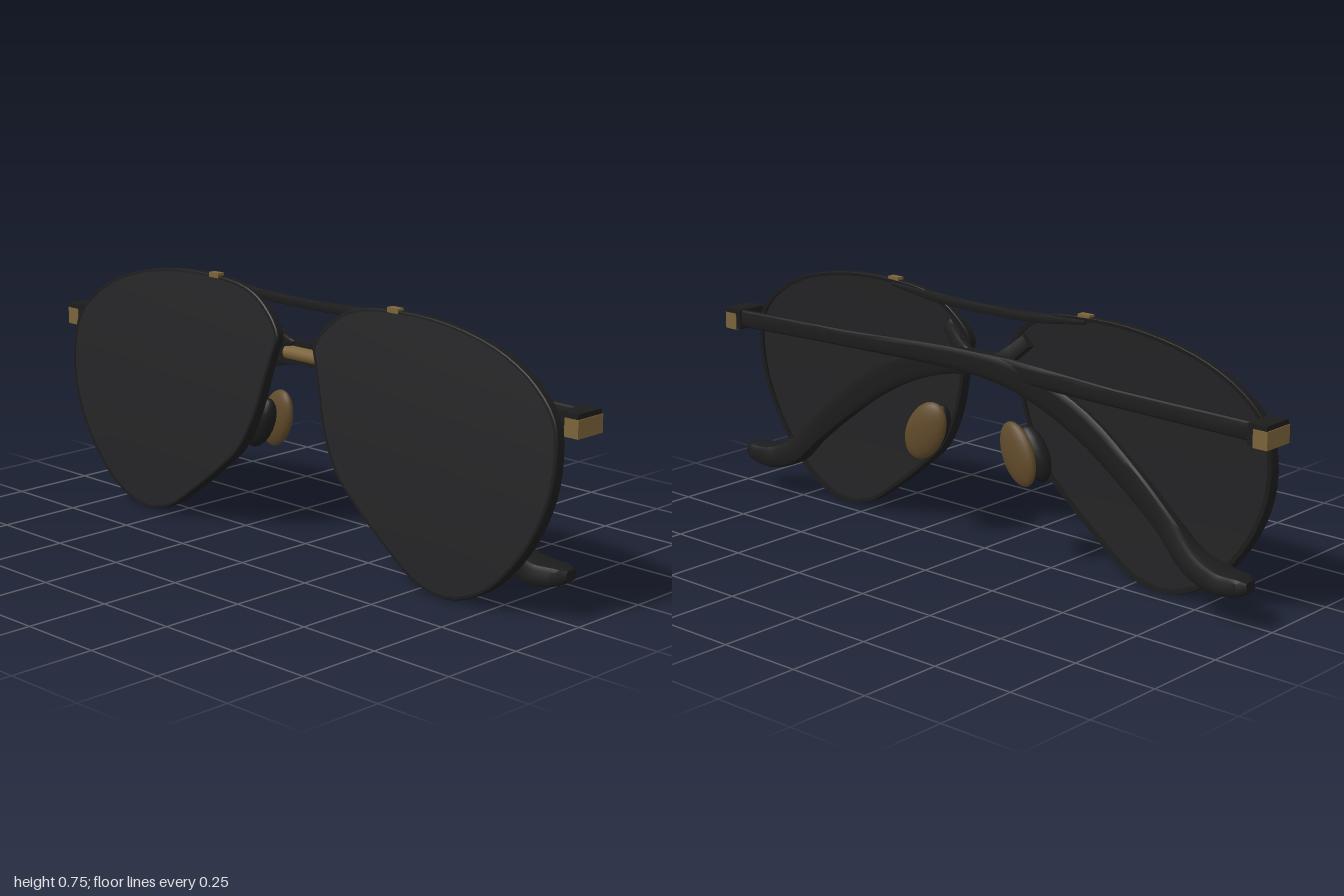
import * as THREE from 'three';
import { toCreasedNormals } from 'three/addons/utils/BufferGeometryUtils.js';

const material = (name, color) => {
  const m = new THREE.MeshStandardMaterial({ color });
  m.name = name;
  return m;
};

// Joins closed loops of points into one surface
function skin(rows, flip = false, crease = 0.6) {
  const n = rows[0].length, index = [];
  for (let i = 0; i < rows.length - 1; i++) {
    for (let j = 0; j < n; j++) {
      const a = i * n + j, b = i * n + (j + 1) % n, c = a + n, d = b + n;
      if (flip) index.push(a, c, b, b, c, d);
      else index.push(a, b, c, b, d, c);
    }
  }
  const geo = new THREE.BufferGeometry();
  geo.setAttribute('position', new THREE.Float32BufferAttribute(rows.flat().flatMap(p => [p.x, p.y, p.z]), 3));
  geo.setIndex(index);
  return toCreasedNormals(geo, crease);
}

// Sweeps a rounded bar through stations [x, y, z, half height, half depth]
function sweep(stations, steps = 4) {
  const path = new THREE.CatmullRomCurve3(stations.map(s => new THREE.Vector3(s[0], s[1], s[2])), false, 'centripetal');
  const last = stations.length - 1, total = last * steps, side = new THREE.Vector3(0, 0, 1);
  const rows = [];
  for (let i = 0; i <= total; i++) {
    const t = i / total, k = Math.min(Math.floor(t * last), last - 1), f = t * last - k;
    const h = THREE.MathUtils.lerp(stations[k][3], stations[k + 1][3], f);
    const d = THREE.MathUtils.lerp(stations[k][4], stations[k + 1][4], f);
    const p = path.getPoint(t), tan = path.getTangent(t).setZ(0).normalize();
    const up = side.clone().cross(tan);
    const loop = [];
    for (let j = 0; j < 12; j++) {
      const a = (j + 0.5) / 12 * Math.PI * 2, c = Math.cos(a), s = Math.sin(a);
      loop.push(p.clone()
        .addScaledVector(up, h * Math.sign(c) * Math.sqrt(Math.abs(c)))
        .addScaledVector(side, d * Math.sign(s) * Math.sqrt(Math.abs(s))));
    }
    if (i === 0) rows.push(loop.map(() => p));
    rows.push(loop);
    if (i === total) rows.push(loop.map(() => p));
  }
  return skin(rows);
}

// Teardrop lens outline for the model's left eye
const OUTLINE = [
  [0.07, 0.61], [0.125, 0.68], [0.21, 0.727], [0.355, 0.745], [0.54, 0.74], [0.73, 0.7],
  [0.86, 0.636], [0.94, 0.555], [0.96, 0.47], [0.95, 0.35], [0.89, 0.21], [0.78, 0.08],
  [0.69, 0.025], [0.6, 0.005], [0.5, 0.027], [0.39, 0.1], [0.275, 0.19], [0.195, 0.265],
  [0.135, 0.38], [0.1, 0.5], [0.083, 0.56],
];
const EYE = new THREE.Vector2(0.52, 0.42);
const frontZ = y => 0.085 - 0.114 * y * y;
const depthAt = y => 0.048 - 0.034 * y;

// Loops of [scale, depth fraction from front to back] that follow the lens curve
function lensSurface(profile, s) {
  const curve = new THREE.CatmullRomCurve3(OUTLINE.map(p => new THREE.Vector3(p[0], p[1], 0)), true, 'centripetal');
  const pts = curve.getPoints(72).slice(0, -1);
  return skin(profile.map(([k, f]) => pts.map(p => {
    const x = EYE.x + (p.x - EYE.x) * k, y = EYE.y + (p.y - EYE.y) * k;
    return new THREE.Vector3(s * x, y, frontZ(y) - f * depthAt(y));
  })), s > 0);
}

export function createModel() {
  const black = material('black frame', 0x1c1c1c);
  const dark = material('dark lens', 0x242426);
  const gold = material('gold metal', 0x7a6339);
  const brown = material('bronze pad', 0x604a2a);

  const model = new THREE.Group();
  model.name = 'foldedSunglasses';
  const add = (name, geo, mat, x = 0, y = 0, z = 0) => {
    const mesh = new THREE.Mesh(geo, mat);
    mesh.name = name;
    mesh.position.set(x, y, z);
    model.add(mesh);
    return mesh;
  };
  const box = (w, h, d) => new THREE.BoxGeometry(w, h, d);

  for (const s of [1, -1]) {
    const label = s > 0 ? 'left' : 'right';

    // Rim and tinted lens
    add(label + 'Rim', lensSurface([[0.965, 0.5], [0.965, 1], [0.995, 1], [1, 0.9], [1, 0.1], [0.993, 0], [0.975, 0], [0.975, 0.2]], s), black);
    const rings = [0.98, 0.8, 0.6, 0.4, 0.2, 0];
    add(label + 'LensFront', lensSurface(rings.map(k => [k, 0.06]), s), dark);
    add(label + 'LensBack', lensSurface([...rings].reverse().map(k => [k, 0.75]), s), dark);

    // Hinge block with gold cover
    const hz = s > 0 ? -0.022 : -0.004;
    add(label + 'HingeBlock', box(0.05, 0.06, 0.096), black, s * 0.962, 0.543, hz);
    add(label + 'HingeCap', box(0.05, 0.014, 0.096), black, s * 0.972, 0.567, hz);
    add(label + 'HingeCover', box(0.045, 0.05, 0.1), gold, s * 0.9775, 0.535, hz);

    // Folded temple arm, crossing behind to the other side
    const dz = s > 0 ? 0 : 0.006;
    add(label + 'Temple', sweep([
      [0.965, 0.545, hz - 0.03, 0.026, 0.014],
      [0.5, 0.553, -0.04, 0.025, 0.011],
      [0, 0.56, -0.03, 0.034, 0.01],
      [-0.18, 0.535, -0.027, 0.042, 0.011],
      [-0.38, 0.45, -0.022, 0.044, 0.014],
      [-0.55, 0.33, -0.02, 0.04, 0.017],
      [-0.67, 0.23, -0.02, 0.036, 0.021],
      [-0.76, 0.15, -0.022, 0.038, 0.034],
      [-0.85, 0.12, -0.022, 0.036, 0.046],
      [-0.925, 0.125, -0.028, 0.027, 0.038],
      [-0.95, 0.128, -0.032, 0.014, 0.02],
    ].map(([x, y, z, h, d]) => [s * x, y, z + dz, h, d])), black);

    // Nose pad on a short stem
    const tilt = s * 0.5;
    const pad = new THREE.SphereGeometry(1, 24, 16);
    pad.scale(0.062, 0.095, 0.025);
    add(label + 'NosePad', pad, brown, s * 0.175, 0.337, -0.058).rotation.set(0, s * 0.15, tilt);
    const stem = new THREE.SphereGeometry(1, 16, 10);
    stem.scale(0.045, 0.085, 0.035);
    add(label + 'PadStem', stem, black, s * 0.19, 0.33, -0.005).rotation.z = tilt;

    // Bridge shoulder joining the rim
    add(label + 'BridgeShoulder', sweep([
      [s * 0.06, 0.575, -0.01, 0.024, 0.014],
      [s * 0.095, 0.597, 0, 0.024, 0.018],
      [s * 0.15, 0.645, 0.015, 0.022, 0.014],
    ]), black);

    // Gold pin on the brow
    add(label + 'BrowPin', box(0.04, 0.014, 0.024), gold, s * 0.355, 0.745, 0.012);
  }

  // Brow bar
  add('browBar', sweep([
    [-0.36, 0.733, 0.008, 0.008, 0.008],
    [-0.2, 0.717, 0.008, 0.014, 0.009],
    [0, 0.712, 0.007, 0.014, 0.009],
    [0.2, 0.717, 0.008, 0.014, 0.009],
    [0.36, 0.733, 0.008, 0.008, 0.008],
  ]), black);

  // Bridge with gold sleeve
  add('bridge', box(0.2, 0.07, 0.016), black, 0, 0.56, -0.014);
  const sleeve = new THREE.CylinderGeometry(0.02, 0.02, 0.15, 12);
  sleeve.rotateZ(Math.PI / 2);
  add('bridgeSleeve', sleeve, gold, 0, 0.56, -0.002);

  return model;
}
